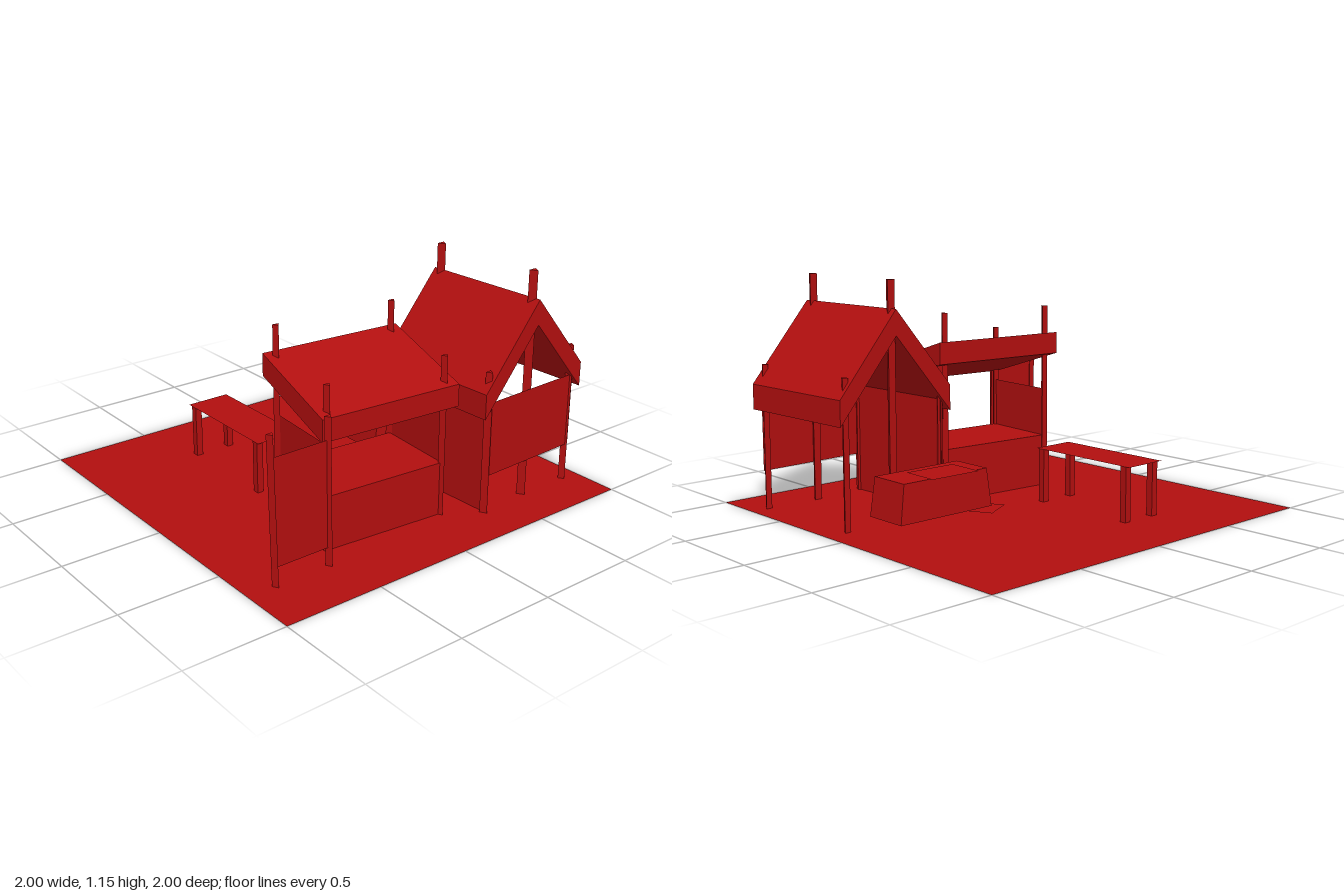
import * as THREE from 'three';

export function createModel() {
  const model = new THREE.Group();
  model.name = 'marketPlace';
  const red = new THREE.MeshStandardMaterial({ color: 0xb20f0f, side: THREE.DoubleSide, flatShading: true });
  red.name = 'red';

  const add = (parent, name, geometry, x = 0, y = 0, z = 0) => {
    const mesh = new THREE.Mesh(geometry, red);
    mesh.name = name;
    mesh.position.set(x, y, z);
    parent.add(mesh);
    return mesh;
  };
  const group = (name, x, z, turn = 0) => {
    const g = new THREE.Group();
    g.name = name;
    g.position.set(x, 0, z);
    g.rotation.y = turn;
    model.add(g);
    return g;
  };
  // Three-sided post standing on the ground
  const post = (parent, name, x, z, h, r = 0.019) =>
    add(parent, name, new THREE.CylinderGeometry(r, r, h, 3), x, h / 2, z);
  // Upright sheet between two ground points
  const wall = (parent, name, [x0, z0], [x1, z1], y0, y1) => {
    const length = Math.hypot(x1 - x0, z1 - z0);
    const mesh = add(parent, name, new THREE.PlaneGeometry(length, y1 - y0), (x0 + x1) / 2, (y0 + y1) / 2, (z0 + z1) / 2);
    mesh.rotation.y = -Math.atan2(z1 - z0, x1 - x0);
  };
  // Flat sheet
  const sheet = (parent, name, w, d, x, y, z) =>
    add(parent, name, new THREE.PlaneGeometry(w, d).rotateX(-Math.PI / 2), x, y, z);
  // Profile extruded along z and centred
  const prism = (points, depth) =>
    new THREE.ExtrudeGeometry(new THREE.Shape(points.map(([x, y]) => new THREE.Vector2(x, y))),
      { depth, bevelEnabled: false }).translate(0, 0, -depth / 2);

  sheet(model, 'ground', 2, 2, 0, 0, 0);

  // Lean-to stall with a counter
  const stall = group('stall', -0.15, 0.43, -0.08);
  for (const x of [-0.322, 0.322]) {
    post(stall, 'stallBackPost', x, -0.21, 0.96);
    post(stall, 'stallFrontPost', x, 0.208, 0.81);
    wall(stall, 'stallSideWall', [x, -0.21], [x, 0.208], 0, 0.52);
  }
  add(stall, 'counter', new THREE.BoxGeometry(0.64, 0.27, 0.415), 0, 0.135, 0);
  add(stall, 'stallRoof', prism([[0.25, 0.82], [-0.25, 0.67], [-0.25, 0.56], [0.25, 0.71]], 0.75)
    .rotateY(Math.PI / 2));

  // Gabled booth
  const booth = group('booth', 0.606, 0.45, 0.037);
  for (const z of [-0.315, 0.315]) {
    for (const x of [-0.287, 0.287]) post(booth, 'boothCornerPost', x, z, 0.72);
    post(booth, 'ridgePost', 0, z * 0.95, 1.15, 0.024);
  }
  wall(booth, 'boothSideWall', [-0.287, -0.33], [-0.287, 0.34], 0, 0.62);
  wall(booth, 'boothFrontPanel', [-0.287, 0.325], [0.3, 0.325], 0.19, 0.565);
  add(booth, 'boothRoof', prism([[-0.335, 0.625], [0, 1.015], [0.335, 0.625],
    [0.335, 0.5], [0, 0.89], [-0.335, 0.5]], 0.69));

  // Screen between two posts
  const screen = group('screen', 0, 0);
  post(screen, 'screenPost', -0.86, 0.72, 0.72).rotation.z = 0.025;
  post(screen, 'screenPost', -0.563, 0.72, 0.72).rotation.z = 0.01;
  wall(screen, 'screenPanel', [-0.86, 0.72], [-0.56, 0.72], 0.09, 0.61);

  // Table
  const table = group('table', -0.295, -0.348);
  sheet(table, 'tableTop', 0.23, 0.625, 0, 0.272, 0);
  for (const x of [-0.095, 0.095]) for (const z of [-0.272, 0.28])
    add(table, 'tableLeg', new THREE.BoxGeometry(0.035, 0.271, 0.035), x, 0.1355, z);

  // Chest that narrows towards the top, with a cloth on it
  const chest = group('chest', 0.528, -0.062);
  const body = new THREE.BoxGeometry(0.545, 0.187, 0.23);
  const p = body.attributes.position;
  for (let i = 0; i < p.count; i++)
    if (p.getY(i) > 0) p.setXYZ(i, p.getX(i) * 0.91, p.getY(i), p.getZ(i) * 0.94);
  add(chest, 'chestBody', body, 0, 0.168, 0);
  sheet(chest, 'chestCloth', 0.275, 0.197, -0.03, 0.266, -0.047).rotation.y = -0.02;

  // Mat on the ground
  sheet(model, 'mat', 0.18, 0.17, 0.138, 0.008, 0.02).rotation.y = 0.48;

  return model;
}
